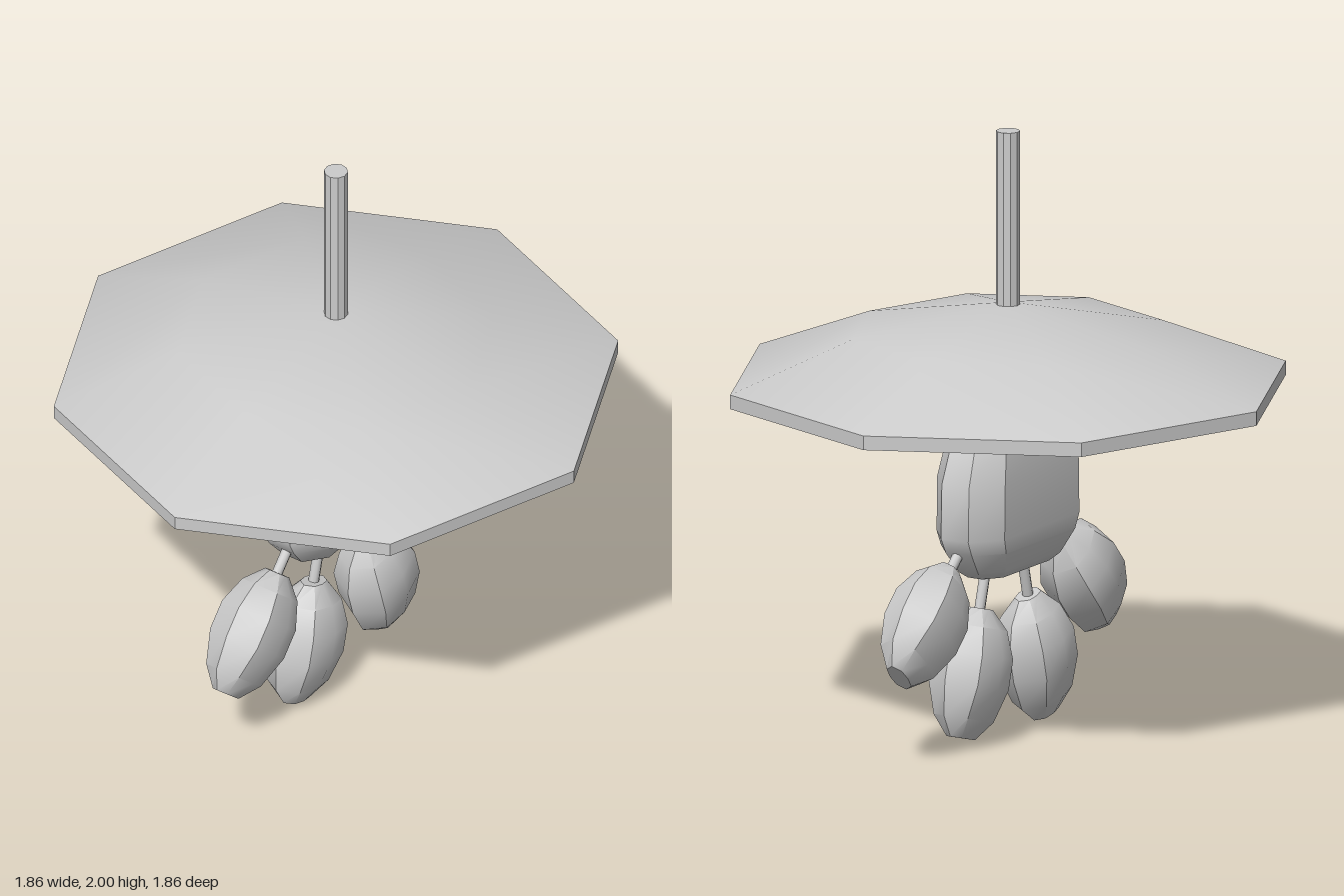
import * as THREE from 'three';
import { toCreasedNormals } from 'three/addons/utils/BufferGeometryUtils.js';

const material = new THREE.MeshStandardMaterial({ color: 0xcccccc });

function addMesh(parent, name, geometry, crease = 0.65) {
  const mesh = new THREE.Mesh(toCreasedNormals(geometry, crease), material);
  mesh.name = name;
  parent.add(mesh);
  return mesh;
}

// Capped loft: rings are [y, halfWidth, halfThickness], bottom to top.
function loft(rings, section) {
  const n = section.length, pos = [], idx = [];
  for (const [y, w, t] of rings) for (const [u, v] of section) pos.push(u * w, y, v * t);
  for (let j = 0; j < rings.length - 1; j++) {
    for (let i = 0; i < n; i++) {
      const a = j * n + i, b = j * n + (i + 1) % n;
      idx.push(a, a + n, b, b, a + n, b + n);
    }
  }
  const top = (rings.length - 1) * n;
  for (let i = 1; i < n - 1; i++) {
    idx.push(0, i, i + 1);
    idx.push(top, top + i + 1, top + i);
  }
  const g = new THREE.BufferGeometry();
  g.setAttribute('position', new THREE.Float32BufferAttribute(pos, 3));
  g.setIndex(idx);
  g.computeVertexNormals();
  return g;
}

export function createModel() {
  const model = new THREE.Group();
  model.name = 'hangingLamp';

  // Rod through the top of the shade
  addMesh(model, 'rod', new THREE.CylinderGeometry(0.039, 0.039, 0.84, 10), 0.4).position.y = 1.58;

  // Eight-sided hollow shade: inner surface, rim, outer surface
  const profile = [[0, 1.38], [0.52, 1.29], [0.93, 1.13], [0.93, 1.177], [0.52, 1.337], [0, 1.43]]
    .map(([r, y]) => new THREE.Vector2(r, y));
  addMesh(model, 'shade', new THREE.LatheGeometry(profile, 8)).rotation.y = 0.033;

  // Everything below the shade lies in one diagonal plane
  const pendant = new THREE.Group();
  pendant.name = 'pendant';
  pendant.rotation.y = Math.PI / 4;
  model.add(pendant);

  // Flattened body with blunt ends
  const bodySection = [[1, -0.4], [1, 0.4], [0.7, 1], [-0.7, 1], [-1, 0.4], [-1, -0.4], [-0.7, -1], [0.7, -1]];
  addMesh(pendant, 'body', loft([
    [0.55, 0.2, 0.07], [0.575, 0.24, 0.095], [0.65, 0.3, 0.125], [0.7, 0.325, 0.13],
    [0.88, 0.32, 0.13], [1.04, 0.26, 0.11], [1.13, 0.165, 0.075], [1.21, 0.06, 0.05],
  ], bodySection));

  // Fan of lens-shaped drops, each on a thin stem: [offset, height, tilt in degrees]
  const dropSection = [[1, 0], [0.65, 0.82], [0, 1], [-0.65, 0.82], [-1, 0], [-0.65, -0.82], [0, -1], [0.65, -0.82]];
  const dropRings = [
    [-0.215, 0.065, 0.035], [-0.15, 0.125, 0.08], [-0.04, 0.15, 0.115],
    [0.06, 0.15, 0.115], [0.15, 0.115, 0.085], [0.21, 0.055, 0.035],
  ];
  const drops = [[-0.48, 0.425, -42], [-0.19, 0.223, -14], [0.21, 0.238, 16], [0.487, 0.455, 47]];
  for (const [x, y, tilt] of drops) {
    const arm = new THREE.Group();
    arm.name = 'dropArm';
    arm.position.set(x, y, 0.012);
    arm.rotation.z = THREE.MathUtils.degToRad(tilt);
    addMesh(arm, 'drop', loft(dropRings, dropSection));
    addMesh(arm, 'stem', new THREE.CylinderGeometry(0.018, 0.018, 0.25, 8), 0.9).position.y = 0.285;
    pendant.add(arm);
  }
  return model;
}
